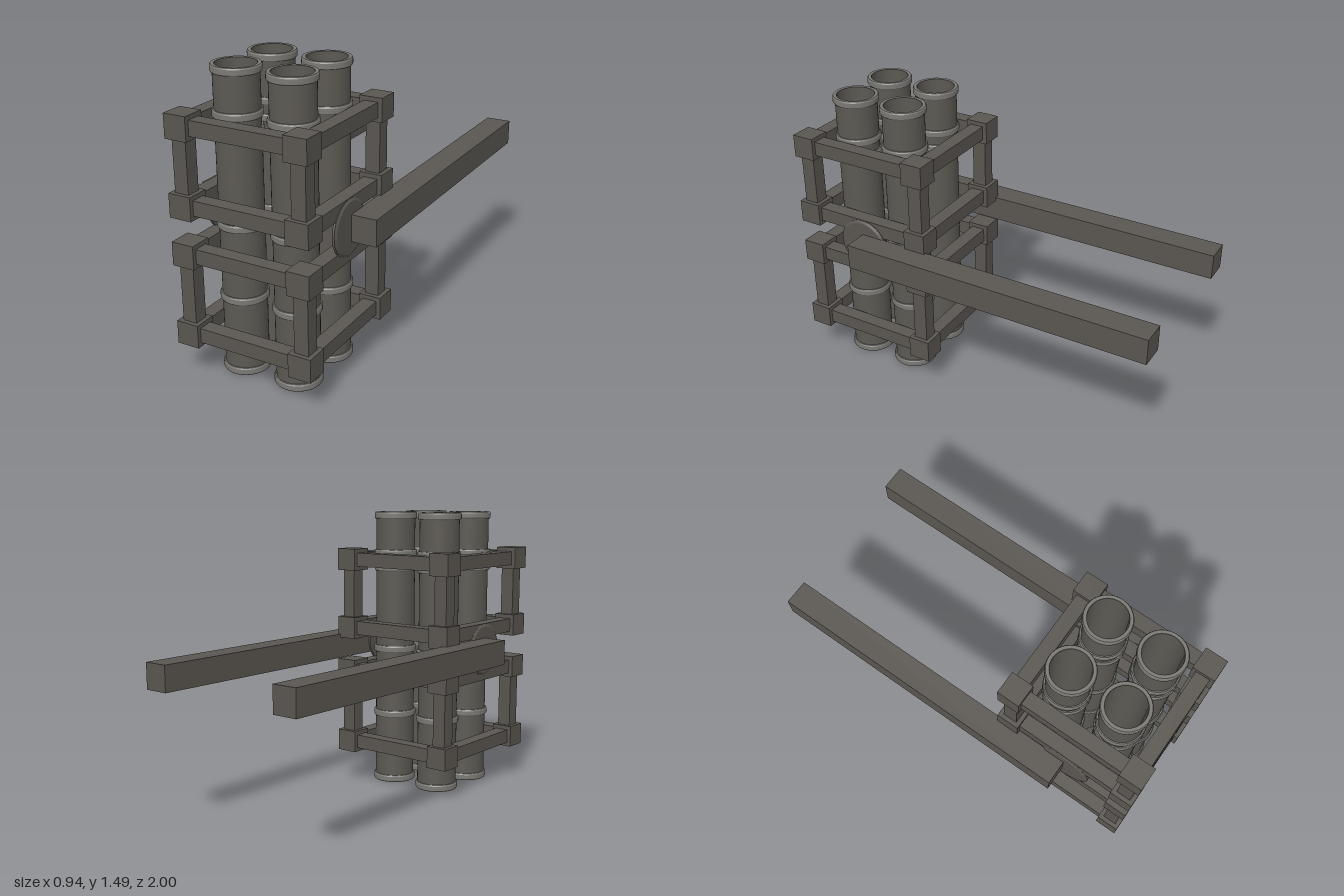
import * as THREE from 'three';

const V = (x, y) => new THREE.Vector2(x, y);

export function createModel() {
  const model = new THREE.Group();
  const frameMat = new THREE.MeshStandardMaterial({ color: 0x5a5651 });
  const tubeMat = new THREE.MeshStandardMaterial({ color: 0x5c5953 });
  const ringMat = new THREE.MeshStandardMaterial({ color: 0x7a7974, flatShading: false });

  const add = (parent, name, geometry, material, x, y, z) => {
    const mesh = new THREE.Mesh(geometry, material);
    mesh.name = name;
    mesh.position.set(x, y, z);
    parent.add(mesh);
    return mesh;
  };
  const box = (parent, name, w, h, d, x, y, z) =>
    add(parent, name, new THREE.BoxGeometry(w, h, d), frameMat, x, y, z);

  // Hard-edged lathe: each profile segment gets its own vertices
  const lathe = (parent, name, points, material, x, y, z) => {
    const group = new THREE.Group();
    group.name = name;
    group.position.set(x, y, z);
    for (let i = 0; i + 1 < points.length; i++) {
      add(group, name + 'Face', new THREE.LatheGeometry([points[i], points[i + 1]], 40), material, 0, 0, 0);
    }
    parent.add(group);
    return group;
  };

  // Four open hollow tubes with collars
  const height = 1.49, outer = 0.105, inner = 0.094;
  const tubeProfile = [V(inner, 0), V(outer, 0), V(outer, height), V(inner, height), V(inner, 0)];
  const ringProfile = [
    V(inner + 0.004, 0), V(0.111, 0), V(0.115, 0.006), V(0.115, 0.029),
    V(0.111, 0.036), V(inner + 0.004, 0.036),
  ];
  const collarHeights = [0.001, 0.368, 0.73, 1.175, 1.253, 1.455];
  for (const x of [-0.148, 0.141]) {
    for (const z of [0.472, 0.756]) {
      const tube = new THREE.Group();
      tube.name = 'tube';
      tube.position.set(x, 0, z);
      lathe(tube, 'tubeWall', tubeProfile, tubeMat, 0, 0, 0);
      for (const y of collarHeights) lathe(tube, 'collar', ringProfile, ringMat, 0, y, 0);
      model.add(tube);
    }
  }

  // Frame: two cages of corner blocks, rails and posts
  const frame = new THREE.Group();
  frame.name = 'frame';
  frame.position.x = -0.005;
  model.add(frame);
  const cx = 0.302, zBack = 0.295, zFront = 0.942, block = 0.116, bar = 0.073;
  const zMid = (zBack + zFront) / 2, zLen = zFront - zBack;
  for (const y of [0.233, 0.633, 0.868, 1.238]) {
    for (const z of [zBack, zFront]) {
      box(frame, 'crossRail', 2 * cx - block, bar, bar, 0, y, z);
      for (const s of [-1, 1]) box(frame, 'cornerBlock', block, block, block, s * cx, y, z);
    }
    for (const s of [-1, 1]) box(frame, 'sideRail', bar, bar, zLen - block, s * cx, y, zMid);
  }
  for (const [y0, y1] of [[0.233, 0.633], [0.868, 1.238]]) {
    for (const s of [-1, 1]) {
      for (const z of [zBack, zFront]) {
        box(frame, 'post', bar, y1 - y0 - block, bar, s * cx, (y0 + y1) / 2, z);
      }
    }
  }

  // Pivot discs and long arms reaching backwards
  const discProfile = [V(0, 0), V(0.138, 0), V(0.138, 0.012), V(0.125, 0.02), V(0, 0.02)];
  for (const s of [-1, 1]) {
    const disc = lathe(model, 'pivotDisc', discProfile, frameMat, s * 0.328 - 0.004, 0.765, 0.618);
    disc.rotation.z = -s * Math.PI / 2;
    box(model, 'arm', 0.131, 0.131, 1.617, s * 0.407 - 0.002, 0.762, -0.1915);
  }
  return model;
}
